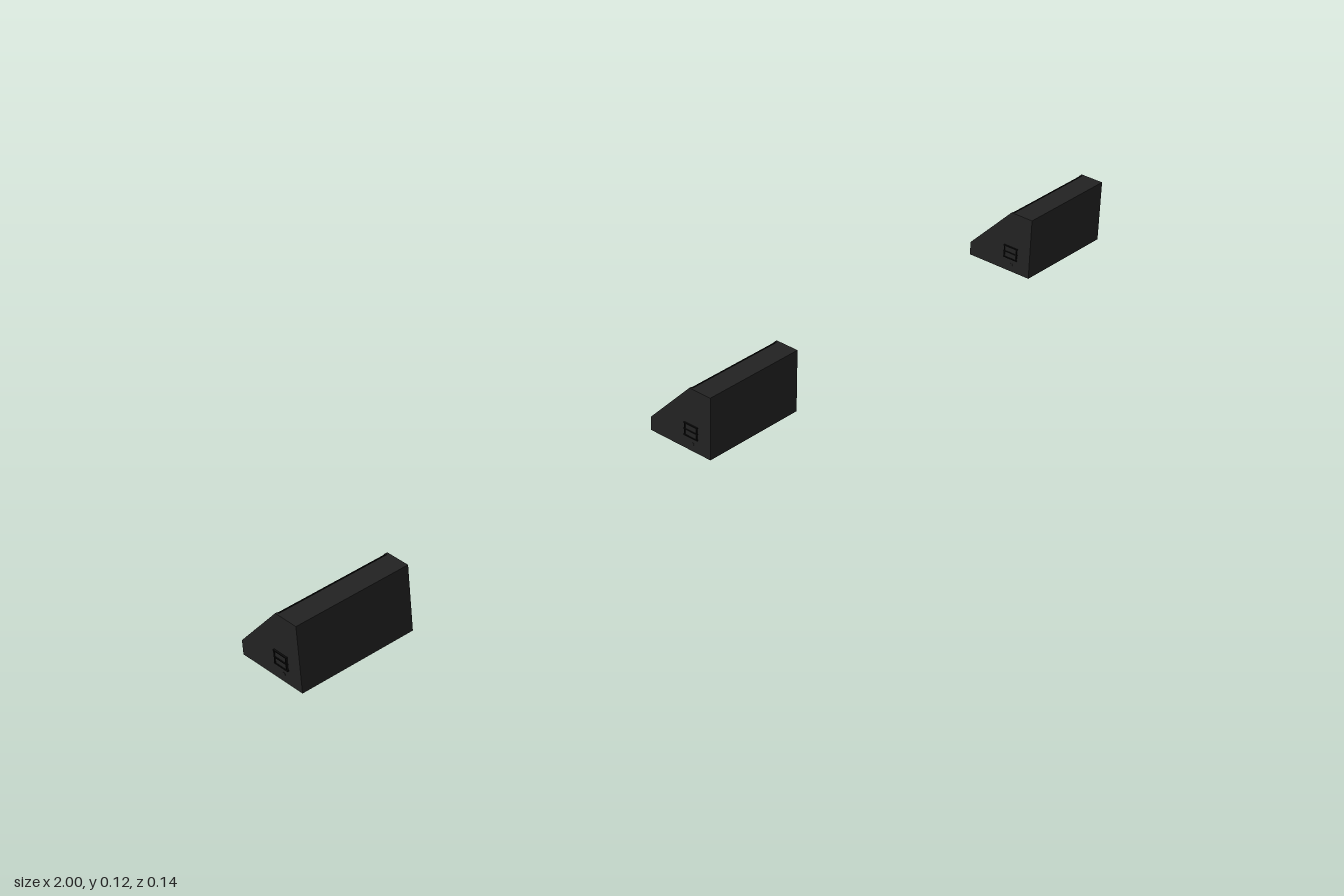
import * as THREE from 'three';

const body = new THREE.MeshStandardMaterial({ name: 'black cabinet', color: 0x222222 });
const mesh = new THREE.MeshStandardMaterial({ name: 'dark grille', color: 0x252525 });
const trim = new THREE.MeshStandardMaterial({ name: 'deep black trim', color: 0x0c0c0c });

const WIDTH = 0.22;
const SLOPE = 0.1358;
const TILT = Math.atan2(0.094, 0.098);

function box(name, mat, size, pos, parent) {
  const m = new THREE.Mesh(new THREE.BoxGeometry(...size), mat);
  m.name = name;
  m.position.set(...pos);
  parent.add(m);
  return m;
}

// Wedge section in (z, y), swept along x; inset lowers the sloping face
function wedge(name, width, x, inset, parent) {
  const d = inset * Math.SQRT2;
  const shape = new THREE.Shape([
    [0.072, 0], [0.072, 0.125], [0.023 + d, 0.125], [-0.071, 0.027 - d], [-0.071, 0],
  ].map(([z, y]) => new THREE.Vector2(z, y)));
  const geo = new THREE.ExtrudeGeometry(shape, { depth: width, bevelEnabled: false });
  geo.translate(0, 0, -width / 2).rotateY(-Math.PI / 2);
  const m = new THREE.Mesh(geo, body);
  m.name = name;
  m.position.x = x;
  parent.add(m);
}

// Side handle: protruding frame with a middle bar, and a small socket below
function handle(side, parent) {
  const g = new THREE.Group();
  g.name = side > 0 ? 'leftHandle' : 'rightHandle';
  g.position.set(side * WIDTH / 2, 0.04, 0.027);
  for (const y of [-0.012, 0, 0.012])
    box('handleBar', trim, [0.006, 0.002, 0.032], [0, y, 0], g);
  for (const z of [-0.014, 0.014])
    box('handlePost', trim, [0.006, 0.025, 0.002], [0, 0, z], g);
  box('handlePlate', body, [0.003, 0.024, 0.028], [0, 0, 0], g);
  const socket = new THREE.Mesh(new THREE.CylinderGeometry(0.003, 0.003, 0.001, 12), body);
  socket.name = 'socket';
  socket.rotation.z = Math.PI / 2;
  socket.position.set(0, -0.025, 0.003);
  g.add(socket);
  parent.add(g);
}

function monitor(x) {
  const g = new THREE.Group();
  g.name = 'wedgeSpeaker';
  g.position.x = x;

  // Cabinet core between two full-height cheeks
  const cheek = 0.004;
  wedge('cabinet', WIDTH - 2 * cheek, 0, 0.003, g);
  for (const s of [-1, 1]) {
    wedge('sideCheek', cheek, s * (WIDTH - cheek) / 2, 0, g);
    handle(s, g);
  }

  // Sloping grille with a dark seam along its upper edge
  const face = new THREE.Group();
  face.name = 'grilleFace';
  face.position.set(0, 0.076, -0.024);
  face.rotation.x = TILT;
  box('grille', mesh, [WIDTH - 2 * cheek - 0.002, SLOPE - 0.008, 0.003], [0, -0.003, 0.0018], face);
  box('topSeam', trim, [WIDTH - 2 * cheek, 0.005, 0.002], [0, SLOPE / 2 - 0.0045, 0.0022], face);
  g.add(face);
  return g;
}

export function createModel() {
  const model = new THREE.Group();
  model.name = 'stageMonitors';
  for (const x of [-0.887, 0.006, 0.887]) model.add(monitor(x));
  return model;
}
